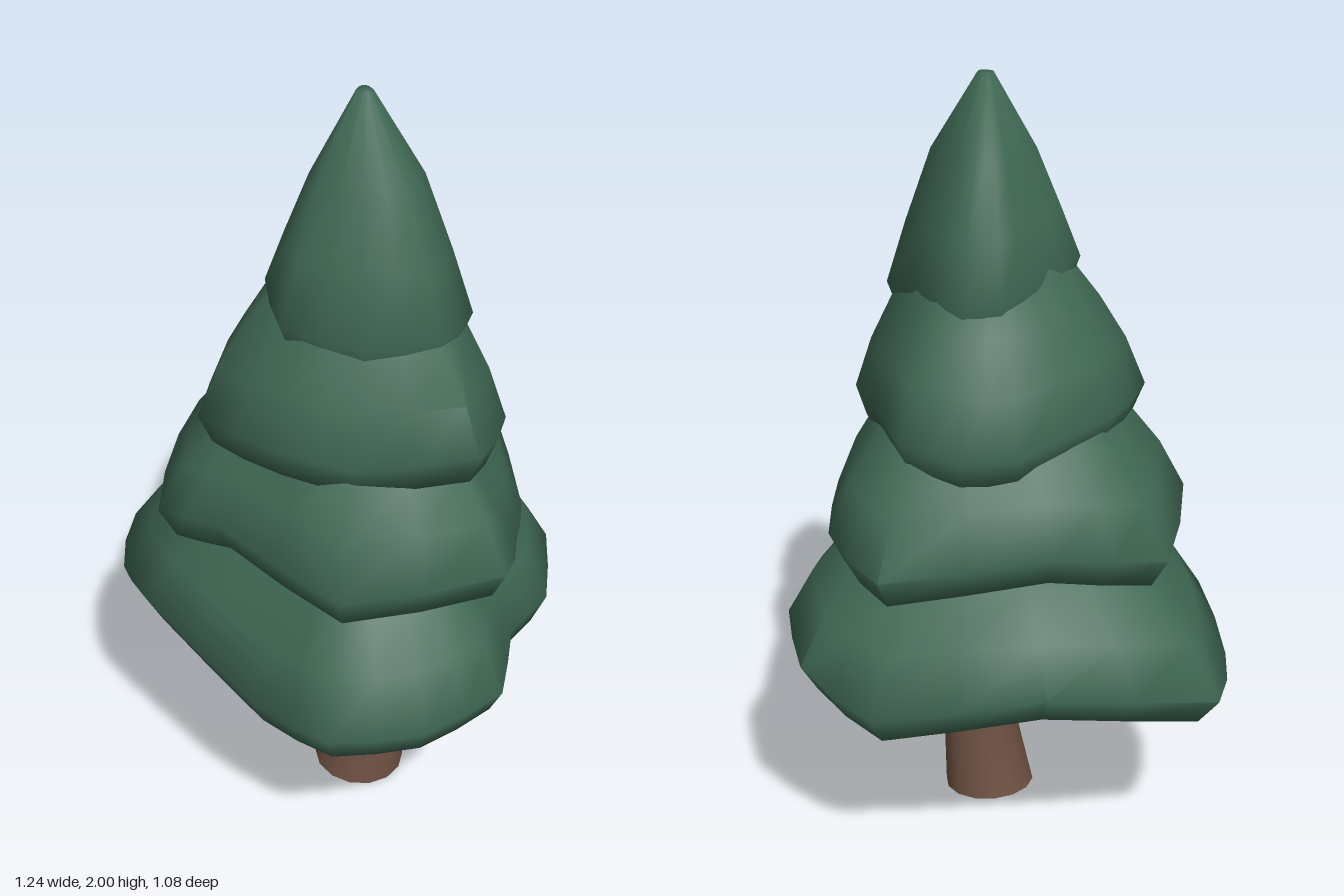
import * as THREE from 'three';
import { toCreasedNormals } from 'three/addons/utils/BufferGeometryUtils.js';

// Skin a stack of equal-length rings (bottom to top) and close both ends.
function loft(rings) {
  const n = rings[0].length, pos = rings.flat(2), idx = [];
  const cap = (r, up) => {
    const centre = [0, 1, 2].map(k => rings[r].reduce((s, p) => s + p[k], 0) / n);
    const c = pos.push(...centre) / 3 - 1;
    for (let i = 0; i < n; i++) {
      const a = r * n + i, b = r * n + (i + 1) % n;
      idx.push(c, ...(up ? [b, a] : [a, b]));
    }
  };
  for (let r = 0; r < rings.length - 1; r++) {
    for (let i = 0; i < n; i++) {
      const a = r * n + i, b = r * n + (i + 1) % n;
      idx.push(a, a + n, b, b, a + n, b + n);
    }
  }
  cap(0, false);
  cap(rings.length - 1, true);
  const g = new THREE.BufferGeometry();
  g.setAttribute('position', new THREE.Float32BufferAttribute(pos, 3));
  g.setIndex(idx);
  return toCreasedNormals(g, 1.2);
}

const CX = 0.09, CZ = 0.06; // axis of the crown

// Profile rows: [scale of outline, height above the rim, share of the rim's wave]
const skirt = [[0.55, -0.06, 0], [0.73, -0.12, 1.1], [0.92, -0.08, 1], [1, 0, 1],
  [0.87, 0.125, 0.7], [0.7, 0.235, 0.35], [0.35, 0.42, 0]];
const tip = [[0.5, 0, 0], [0.9, -0.065, 1], [1, 0, 1], [0.8, 0.15, 0.5], [0.54, 0.325, 0], [0.08, 0.52, 0]];

// Rim corners: [x, z, wave], running from the back round by +x
const bottomRim = [[0, -0.54, 0.02], [0.24, -0.45, 0.04], [0.4, -0.3, 0], [0.47, -0.11, 0.03], [0.62, 0.06, 0.02],
  [0.59, 0.28, -0.01], [0.47, 0.48, -0.01], [0.22, 0.52, -0.03], [-0.21, 0.54, 0.05],
  [-0.44, 0.455, -0.03], [-0.62, 0.295, -0.03], [-0.5, -0.135, 0.05], [-0.235, -0.47, -0.04]];
const lowerRim = [[0.035, -0.43, 0.02], [0.36, -0.23, -0.02], [0.47, -0.11, -0.02], [0.6, 0.05, 0.03],
  [0.39, 0.38, -0.02], [0.02, 0.46, 0.04], [-0.17, 0.505, 0], [-0.455, 0.245, -0.03],
  [-0.395, -0.05, 0.03], [-0.18, -0.415, -0.03]];
const middleRim = [[-0.1, -0.3, -0.01], [0.07, -0.28, 0.03], [0.34, -0.18, -0.04], [0.51, 0.06, 0.03],
  [0.32, 0.28, -0.01], [0.16, 0.39, 0.01], [-0.1, 0.42, -0.01], [-0.27, 0.2, 0.01],
  [-0.29, -0.08, -0.03], [-0.22, -0.21, -0.04]];
const topRim = [[0, -0.155, 0.02], [0.28, -0.115, -0.03], [0.37, 0.06, -0.01], [0.27, 0.21, -0.02],
  [0.09, 0.31, 0], [-0.03, 0.26, 0.06], [-0.11, 0.1, 0.03], [-0.145, -0.04, 0.02], [-0.09, -0.12, -0.01]];

// One wavy tier: a softened rim repeated along a profile
function tier(rim, y, profile) {
  const corners = rim.map(([x, z, wave]) => new THREE.Vector3(x, wave, z));
  const curve = new THREE.CatmullRomCurve3(corners, true, 'catmullrom', 0.2);
  const outline = curve.getPoints(rim.length * 2).slice(0, -1);
  return loft(profile.map(([s, h, w]) => outline.map(p =>
    [CX + (p.x - CX) * s, y + h + p.y * w, CZ + (p.z - CZ) * s])));
}

// Bent trunk with a slightly tilted foot; sections: [x, y, z, radius, tilt]
function trunk() {
  const sections = [[0.07, 0.017, 0.06, 0.12, 0.1], [0.1, 0.29, 0.038, 0.092, 0],
    [0.065, 0.49, 0.055, 0.08, 0], [0.06, 0.6, 0.06, 0.075, 0]];
  return loft(sections.map(([x, y, z, r, tilt]) => Array.from({ length: 14 }, (_, i) => {
    const a = i / 14 * Math.PI * 2, dx = Math.cos(a) * r;
    return [x + dx, y - dx * tilt, z + Math.sin(a) * r];
  })));
}

export function createModel() {
  const model = new THREE.Group();
  const foliage = new THREE.MeshStandardMaterial({ color: 0x3f6753 });
  foliage.name = 'pine green';
  const bark = new THREE.MeshStandardMaterial({ color: 0x705244 });
  bark.name = 'bark brown';

  const add = (name, geometry, material) => {
    const mesh = new THREE.Mesh(geometry, material);
    mesh.name = name;
    model.add(mesh);
  };

  add('trunk', trunk(), bark);
  add('bottomBranches', tier(bottomRim, 0.58, skirt), foliage);
  add('lowerBranches', tier(lowerRim, 0.91, skirt), foliage);
  add('middleBranches', tier(middleRim, 1.2, skirt), foliage);
  add('treeTop', tier(topRim, 1.48, tip), foliage);
  return model;
}
